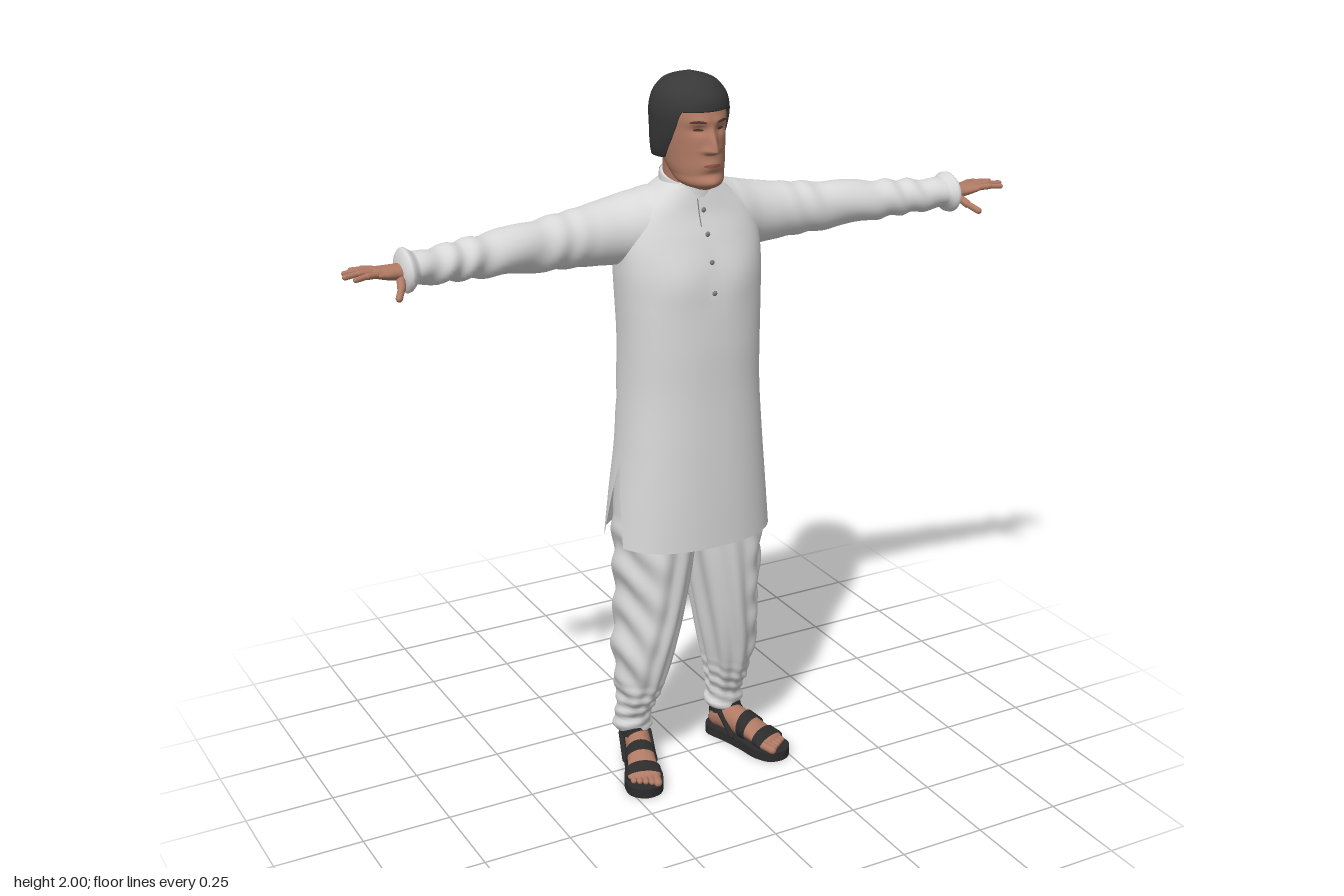
import * as THREE from 'three';
import { ParametricGeometry } from 'three/addons/geometries/ParametricGeometry.js';

const { smoothstep, lerp } = THREE.MathUtils;
const bell = (d, w) => Math.exp(-(d * d) / (w * w));
const std = (name, color, side = THREE.FrontSide) =>
  Object.assign(new THREE.MeshStandardMaterial({ color, side }), { name });

// Smooth interpolation of cross-sections: [t, centreA, centreB, radiusA, radiusB]
function sections(rows) {
  const curve = new THREE.CubicInterpolant(rows.map(r => r[0]), rows.flatMap(r => r.slice(1)), 4);
  return { from: rows[0][0], to: rows[rows.length - 1][0], at: t => [...curve.evaluate(t)] };
}

// Point on a (super)elliptic section; A x axis = B keeps the surface facing outward
function ringPoint(sec, axis, a, t, n, out) {
  const [ca, cb, ra, rb] = sec.at(t);
  const pw = v => Math.sign(v) * Math.abs(v) ** (2 / n);
  const A = ca + ra * pw(Math.sin(a)), B = cb + rb * pw(Math.cos(a));
  if (axis === 'y') return out.set(A, t, B);
  if (axis === 'x') return out.set(t, B, A);
  return out.set(B, A, t);
}

function loft(sec, { axis = 'y', n = 2, seg = 40, steps = 40, warp, from = sec.from, to = sec.to, arc } = {}) {
  return new ParametricGeometry((u, v, p) => {
    const t = lerp(from, to, v);
    const [a0, a1] = arc ? arc(t) : [-Math.PI, Math.PI];
    const a = lerp(a0, a1, u);
    ringPoint(sec, axis, a, t, n, p);
    if (warp) warp(p, a, t);
  }, seg, steps);
}

function mirrored(geo) {
  const g = geo.clone().scale(-1, 1, 1), i = g.index.array;
  for (let k = 0; k < i.length; k += 3) [i[k], i[k + 1]] = [i[k + 1], i[k]];
  return g;
}

// Rounded rod between two points
function rod(a, b, r) {
  const p = new THREE.Vector3(...a), q = new THREE.Vector3(...b), d = q.clone().sub(p);
  const g = new THREE.CapsuleGeometry(r, d.length(), 5, 12);
  g.applyQuaternion(new THREE.Quaternion().setFromUnitVectors(new THREE.Vector3(0, 1, 0), d.clone().normalize()));
  return g.translate(...p.add(q).multiplyScalar(0.5).toArray());
}

export function createModel() {
  const model = new THREE.Group();
  model.name = 'standingMan';
  const cloth = std('white cloth', 0xd8d8d8, THREE.DoubleSide);
  const skin = std('skin', 0xb07a64);
  const hairMat = std('dark hair', 0x383838, THREE.DoubleSide);
  const leather = std('black leather', 0x2c2c2c, THREE.DoubleSide);
  const lipMat = std('lips', 0x8e5848);
  const eyeMat = std('eyes and brows', 0x55382e);
  const buttonMat = std('buttons', 0x808080);
  const add = (name, geo, mat) => {
    const m = new THREE.Mesh(geo, mat);
    m.name = name;
    model.add(m);
  };
  const pair = (name, geo, mat) => {
    add(name + 'Left', geo, mat);
    add(name + 'Right', mirrored(geo), mat);
  };

  // Tunic body, with soft chest and a crease across the lower back
  const body = sections([
    [0.72, 0, -0.01, 0.235, 0.17], [0.85, 0, -0.006, 0.222, 0.165], [1.0, 0, 0, 0.207, 0.156],
    [1.16, 0, -0.003, 0.197, 0.155], [1.3, 0, 0, 0.196, 0.151], [1.4, 0, -0.003, 0.2, 0.148],
    [1.5, 0, -0.008, 0.205, 0.138], [1.58, 0, -0.02, 0.203, 0.125], [1.64, 0, -0.026, 0.18, 0.108],
    [1.68, 0, -0.018, 0.125, 0.09], [1.72, 0, -0.008, 0.07, 0.07],
  ]);
  const bodyWarp = (p, a, t) => {
    const c = Math.cos(a);
    if (c > 0) p.z += 0.008 * c * bell(Math.abs(p.x) - 0.09, 0.07) * bell(t - 1.47, 0.07);
    else p.z -= 0.014 * c * bell(t - 1.1 + 0.12 * p.x, 0.025);
  };
  const slitTop = 0.96;
  add('tunicBody', loft(body, { n: 2.35, seg: 64, steps: 70, from: slitTop, warp: bodyWarp }), cloth);
  const gap = t => Math.asin((0.055 * (slitTop - t) / 0.24 / 0.165) ** 1.17);
  const H = Math.PI / 2;
  const panel = arc => loft(body, { n: 2.35, seg: 40, steps: 16, to: slitTop, arc, warp: bodyWarp });
  add('tunicFrontPanel', panel(t => [-H + gap(t), H - gap(t)]), cloth);
  add('tunicBackPanel', panel(t => [H + gap(t), 3 * H - gap(t)]), cloth);

  // Sleeves
  const sleeve = sections([
    [0.03, -0.025, 1.61, 0.04, 0.04], [0.07, -0.025, 1.605, 0.1, 0.092], [0.14, -0.038, 1.597, 0.1, 0.095],
    [0.21, -0.048, 1.588, 0.09, 0.088], [0.3, -0.042, 1.585, 0.077, 0.077], [0.4, -0.032, 1.583, 0.068, 0.069],
    [0.6, -0.002, 1.585, 0.058, 0.053], [0.78, 0.03, 1.587, 0.049, 0.041],
    [0.82, 0.036, 1.588, 0.047, 0.038], [0.823, 0.037, 1.588, 0.03, 0.02],
  ]);
  pair('sleeve', loft(sleeve, {
    axis: 'x', seg: 32, steps: 110, warp: (p, a, t) => {
      const k = smoothstep(t, 0.2, 0.5) * (1 - smoothstep(t, 0.78, 0.82));
      const r = 0.0035 * k * Math.sin(62 * t + 2.5 * Math.sin(a + 1) + 2 * Math.sin(19 * t));
      p.y += r * Math.cos(a);
      p.z += r * Math.sin(a);
    },
  }), cloth);

  // Stand collar, higher at the back
  add('collar', new ParametricGeometry((u, v, p) => {
    const a = (u - 0.5) * 2 * Math.PI, r = v < 0.75 ? 0.079 - 0.006 * v : 0.0745 - 0.04 * (v - 0.75);
    p.set(r * Math.sin(a), 1.675 + 0.055 * Math.min(v / 0.75, 1) - 0.018 * Math.cos(a), -0.005 + r * Math.cos(a));
  }, 48, 8), cloth);

  // Button placket
  const chestZ = y => { const s = body.at(y); return s[1] + s[3]; };
  add('placket', new ParametricGeometry((u, v, p) => {
    const y = lerp(1.42, 1.68, v);
    p.set(lerp(-0.016, 0.016, u), y, chestZ(y) + 0.003);
  }, 2, 24), cloth);
  add('placketSeam', new ParametricGeometry((u, v, p) => {
    const y = lerp(1.61, 1.68, v);
    p.set(lerp(-0.016, -0.013, u), y, chestZ(y) + 0.005);
  }, 1, 10), buttonMat);
  for (const y of [1.65, 1.59, 1.52, 1.44])
    add('button', new THREE.SphereGeometry(0.007, 12, 8).scale(1, 1, 0.6).translate(0, y, chestZ(y) + 0.005), buttonMat);

  // Loose trousers with draped folds
  const leg = sections([
    [0.085, 0.15, -0.068, 0.036, 0.036], [0.09, 0.15, -0.066, 0.046, 0.046], [0.15, 0.15, -0.057, 0.05, 0.055],
    [0.25, 0.143, -0.037, 0.058, 0.088], [0.36, 0.137, -0.025, 0.076, 0.112], [0.5, 0.12, -0.018, 0.085, 0.132],
    [0.7, 0.108, -0.008, 0.104, 0.142], [0.9, 0.1, -0.006, 0.1, 0.142], [1.0, 0.1, 0, 0.09, 0.12],
  ]);
  pair('trouserLeg', loft(leg, {
    seg: 72, steps: 90, warp: (p, a, t) => {
      const outer = Math.max(0, Math.sin(a)), fade = smoothstep(t, 0.09, 0.3) * (1 - smoothstep(t, 0.72, 0.8));
      const drape = 0.007 * outer * Math.sin(52 * t + 5 * Math.cos(a) ** 2);
      const pleat = 0.006 * (1 - outer) * Math.sin(9 * a + 7 * t);
      const cuff = 0.003 * (1 - smoothstep(t, 0.2, 0.3)) * Math.sin(150 * t + 2 * a);
      const r = fade * (drape + pleat) + cuff;
      p.x += r * Math.sin(a);
      p.z += r * Math.cos(a);
    },
  }), cloth);

  // Head with sculpted face
  const head = sections([
    [1.708, 0, 0.075, 0.02, 0.03], [1.72, 0, 0.065, 0.05, 0.062], [1.75, 0, 0.042, 0.067, 0.087],
    [1.8, 0, 0.02, 0.077, 0.108], [1.86, 0, 0.013, 0.082, 0.113], [1.92, 0, 0.008, 0.084, 0.108],
    [1.97, 0, 0.005, 0.058, 0.075], [1.985, 0, 0.005, 0.01, 0.01],
  ]);
  const relief = (x, y) => {
    const ax = Math.abs(x);
    const bridge = smoothstep(y, 1.8, 1.815) * (1 - smoothstep(y, 1.815, 1.885));
    return 0.028 * bell(x, 0.012 + 0.006 * bell(y - 1.813, 0.012)) * bridge
      + 0.005 * bell(y - 1.888, 0.012) * bell(ax - 0.03, 0.03)
      - 0.009 * bell(y - 1.866, 0.013) * bell(ax - 0.032, 0.018)
      + 0.005 * bell(y - 1.775, 0.013) * bell(x, 0.026)
      - 0.004 * bell(y - 1.752, 0.009) * bell(x, 0.03)
      + 0.007 * bell(y - 1.73, 0.014) * bell(x, 0.025);
  };
  add('head', loft(head, {
    seg: 96, steps: 90, warp: (p, a) => { if (Math.cos(a) > 0) p.z += relief(p.x, p.y) * Math.cos(a) ** 0.5; },
  }), skin);
  const neck = sections([[1.64, 0, -0.01, 0.066, 0.066], [1.7, 0, -0.005, 0.064, 0.069], [1.8, 0, -0.005, 0.064, 0.072]]);
  add('neck', loft(neck, { steps: 10 }), skin);

  // Thin face details that follow the face surface
  const patch = (cx, cy, w, h, bend = 0) => new ParametricGeometry((u, v, p) => {
    const s = 2 * u - 1, x = cx + w * s;
    const y = cy + h * (2 * v - 1) * Math.sqrt(Math.max(0, 1 - s * s)) - bend * s * s;
    const [, cz, rx, rz] = head.at(y), c = Math.sqrt(1 - (x / rx) ** 2);
    p.set(x, y, cz + rz * c + relief(x, y) * c ** 0.5 + 0.002);
  }, 14, 4);
  pair('eyebrow', patch(0.034, 1.889, 0.02, 0.0035, 0.003), eyeMat);
  pair('eye', patch(0.032, 1.867, 0.012, 0.0035), eyeMat);
  add('mouth', patch(0, 1.776, 0.025, 0.005, 0.001), lipMat);

  // Hair: low sides and back, short fringe
  const hair = sections([
    [1.77, 0, -0.028, 0.084, 0.07], [1.8, 0, -0.018, 0.093, 0.084], [1.86, 0, -0.002, 0.1, 0.107],
    [1.92, 0, 0.004, 0.1, 0.115], [1.96, 0, 0.005, 0.084, 0.097], [1.985, 0, 0.004, 0.054, 0.062], [2.0, 0, 0.004, 0.003, 0.003],
  ]);
  add('hair', new ParametricGeometry((u, v, p) => {
    const a = (u - 0.5) * 2 * Math.PI;
    const low = lerp(1.912, 1.782, smoothstep(Math.abs(a), 0.72, 1.08));
    const y = lerp(low, 2, Math.sin(Math.max(0, (v - 0.06) / 0.94) * H));
    ringPoint(hair, 'y', a, y, 2, p);
    const tuck = v < 0.06 ? lerp(0.82, 1, v / 0.06) : 1;
    p.x *= tuck;
    p.z *= tuck;
  }, 96, 50), hairMat);

  // Hands
  const palm = sections([
    [0.8, 0.037, 1.588, 0.03, 0.022], [0.83, 0.038, 1.589, 0.032, 0.02], [0.87, 0.04, 1.593, 0.038, 0.015],
    [0.893, 0.039, 1.597, 0.036, 0.01], [0.9, 0.039, 1.598, 0.02, 0.004],
  ]);
  pair('palm', loft(palm, { axis: 'x', seg: 24, steps: 16 }), skin);
  const fingers = [
    [[0.88, 1.597, 0.066], [0.918, 1.601, 0.08], [0.95, 1.599, 0.089]],
    [[0.885, 1.599, 0.048], [0.93, 1.603, 0.054], [0.967, 1.6, 0.059]],
    [[0.885, 1.598, 0.027], [0.925, 1.602, 0.026], [0.957, 1.599, 0.024]],
    [[0.875, 1.595, 0.011], [0.905, 1.597, 0.0], [0.93, 1.595, -0.009]],
    [[0.825, 1.58, 0.055], [0.837, 1.562, 0.09], [0.855, 1.547, 0.12]],
  ];
  fingers.forEach(([a, b, c], i) => {
    const r = i === 4 ? 0.011 : 0.0085;
    pair(i === 4 ? 'thumbBase' : 'fingerBase', rod(a, b, r), skin);
    pair(i === 4 ? 'thumbTip' : 'fingerTip', rod(b, c, r * 0.82), skin);
  });

  // Feet and sandals, modelled pointing forward then turned outward
  const foot = (name, geo, mat) => pair(name, geo.rotateY(0.35).translate(0.175, 0, 0.035), mat);
  const footRows = [
    [-0.132, 0.05, 0, 0.012, 0.014], [-0.12, 0.055, 0, 0.03, 0.03], [-0.09, 0.065, 0, 0.044, 0.036],
    [-0.03, 0.063, 0, 0.041, 0.036], [0.03, 0.053, 0, 0.029, 0.04], [0.07, 0.044, 0, 0.019, 0.044],
    [0.1, 0.038, 0, 0.01, 0.041], [0.105, 0.037, 0, 0.004, 0.03],
  ];
  foot('foot', loft(sections(footRows), { axis: 'z', seg: 28, steps: 36 }), skin);
  const ankle = sections([[0.05, 0.01, -0.092, 0.035, 0.04], [0.1, 0.01, -0.098, 0.033, 0.038], [0.16, 0.01, -0.1, 0.033, 0.036]]);
  foot('ankle', loft(ankle, { seg: 24, steps: 8 }), skin);
  for (let i = 0; i < 5; i++) {
    const x = -0.034 + i * 0.0165, r = i === 0 ? 0.012 : 0.0085;
    foot('toe', rod([x * 0.95, 0.038, 0.09], [x, 0.036, 0.127 - i * 0.005], r), skin);
  }
  const half = [[0.036, -0.125], [0.04, -0.06], [0.045, 0.01], [0.055, 0.08], [0.042, 0.128]];
  const outline = [...half, [0, 0.148], ...half.map(([x, z]) => [-x, z]).reverse(), [0, -0.146]];
  const curve = new THREE.CatmullRomCurve3(outline.map(([x, z]) => new THREE.Vector3(x, z, 0)), true);
  const sole = new THREE.Shape(curve.getPoints(48).slice(0, -1).map(p => new THREE.Vector2(p.x, p.y)));
  const soleGeo = new THREE.ExtrudeGeometry(sole, { depth: 0.028, bevelEnabled: false });
  soleGeo.setIndex([...Array(soleGeo.attributes.position.count).keys()]);
  foot('sandalSole', soleGeo.rotateX(H).translate(0, 0.028, 0), leather);
  const wide = sections(footRows.map(([t, y, x, ry, rx]) => [t, y, x, ry + 0.006, rx + 0.006]));
  for (const [from, to] of [[0.062, 0.095], [-0.005, 0.028]])
    foot('sandalStrap', loft(wide, { axis: 'z', seg: 28, steps: 6, from, to }), leather);
  foot('ankleStrap', loft(sections([[0.078, 0.008, -0.088, 0.043, 0.051], [0.104, 0.009, -0.092, 0.041, 0.048]]), {
    seg: 32, steps: 3, warp: (p, a) => { p.y += 0.012 * Math.cos(a); },
  }), leather);
  foot('insideStrap', rod([-0.042, 0.03, -0.02], [-0.034, 0.088, -0.075], 0.008), leather);
  foot('outsideStrap', rod([0.042, 0.03, -0.02], [0.046, 0.088, -0.075], 0.008), leather);
  foot('heelStrap', rod([0, 0.03, -0.135], [0.006, 0.07, -0.137], 0.009), leather);

  return model;
}
